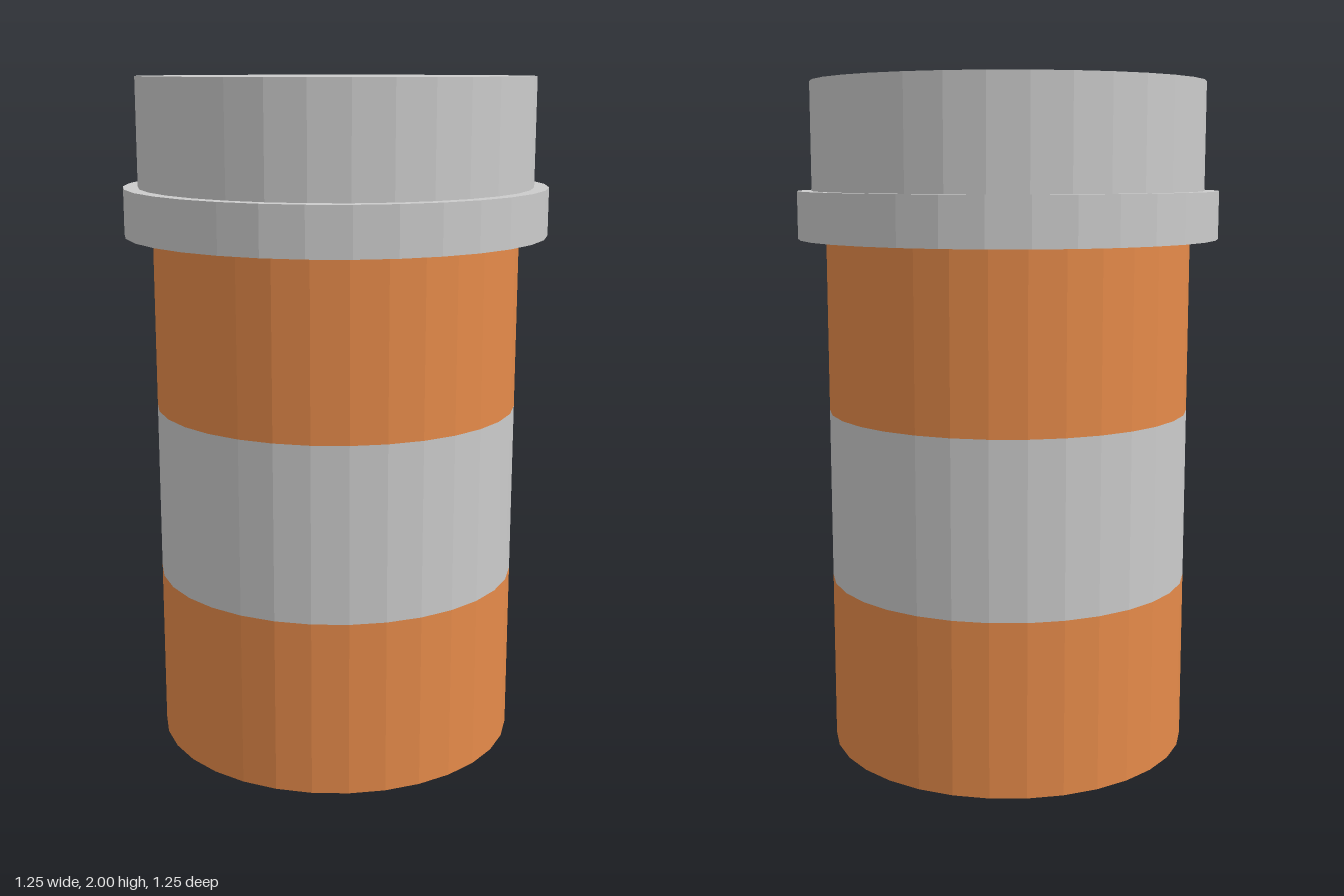
import * as THREE from 'three';

const SIDES = 32;

export function createModel() {
  const model = new THREE.Group();
  const grey = new THREE.MeshStandardMaterial({ color: 0xcccccc, flatShading: true });
  const orange = new THREE.MeshStandardMaterial({ color: 0xe68b4a, flatShading: true });

  // Faceted upright cylinder between two heights
  function addCylinder(name, radius, bottom, top, material, open = false) {
    const geometry = new THREE.CylinderGeometry(radius, radius, top - bottom, SIDES, 1, open);
    const mesh = new THREE.Mesh(geometry, material);
    mesh.name = name;
    mesh.position.y = (bottom + top) / 2;
    model.add(mesh);
  }

  // Bottle body with the label band set flush between its orange sections
  addCylinder('lowerBody', 0.542, 0, 0.515, orange);
  addCylinder('label', 0.542, 0.515, 1.03, grey, true);
  addCylinder('upperBody', 0.542, 1.03, 1.545, orange);

  // Cap with a wider rim at its base
  addCylinder('capRim', 0.625, 1.545, 1.685, grey);
  addCylinder('cap', 0.582, 1.685, 2, grey);

  return model;
}
